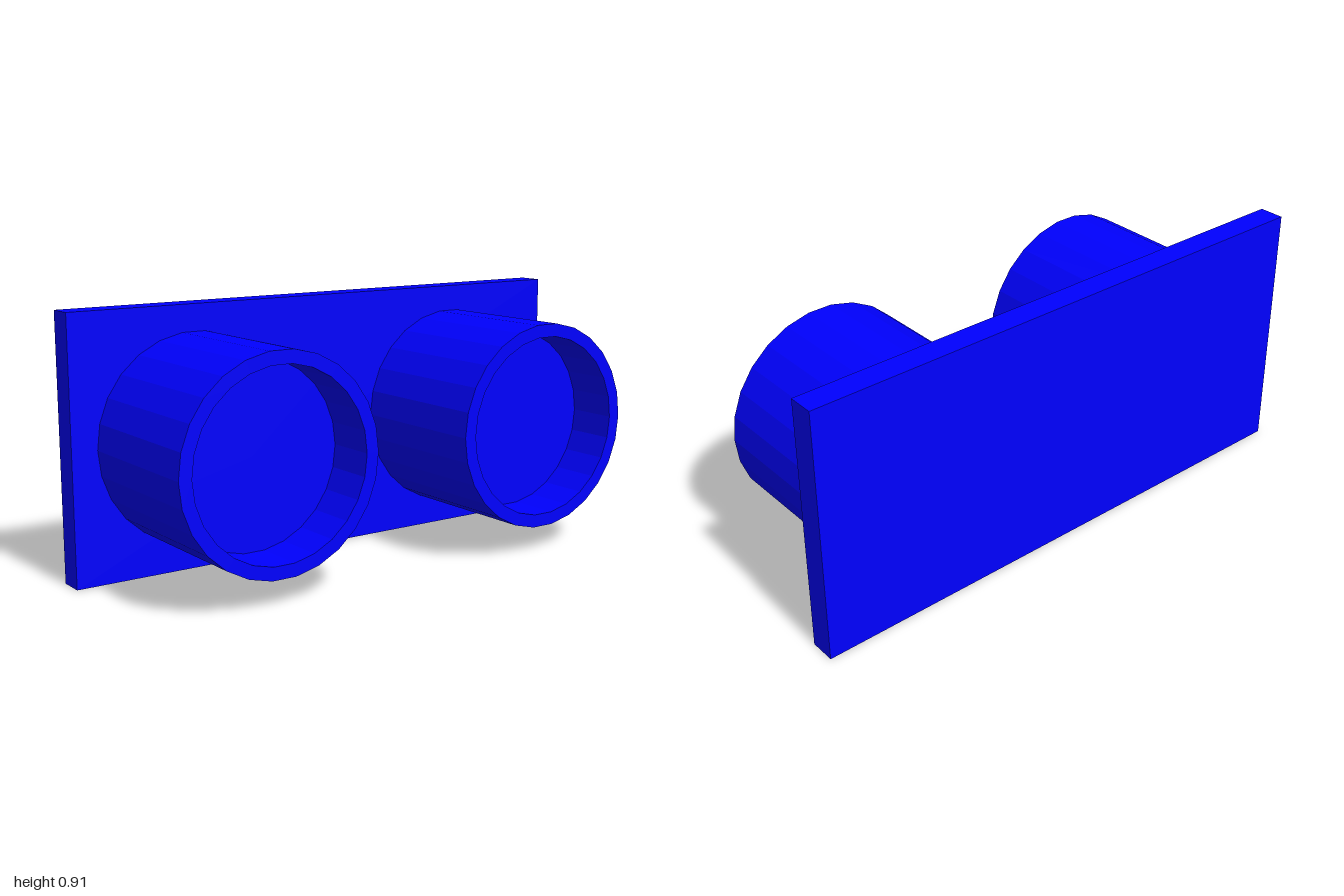
import * as THREE from 'three';

export function createModel() {
  const model = new THREE.Group();
  model.name = 'twinCupPlate';
  const material = new THREE.MeshStandardMaterial({ color: 0x0000ff, flatShading: true });

  // Everything sits on a regular grid: the plate is 22 units long
  const u = 2 / 22;

  // Upright backing plate
  const plate = new THREE.Mesh(new THREE.BoxGeometry(u, 10 * u, 22 * u), material);
  plate.name = 'backPlate';
  plate.position.set(-3 * u, 5 * u, 0);
  model.add(plate);

  // Cup: outer wall, rim, shallow recess and its floor
  const profile = [[4, 0], [4, 6], [3.5, 6], [3.5, 4], [0, 4]]
    .map(([r, h]) => new THREE.Vector2(r * u, h * u));
  const cupGeometry = new THREE.LatheGeometry(profile, 26);
  cupGeometry.rotateZ(-Math.PI / 2);

  for (const [name, side] of [['frontCup', 1], ['backCup', -1]]) {
    const cup = new THREE.Mesh(cupGeometry, material);
    cup.name = name;
    cup.position.set(-2.5 * u, 5 * u, side * 6 * u);
    model.add(cup);
  }

  return model;
}
